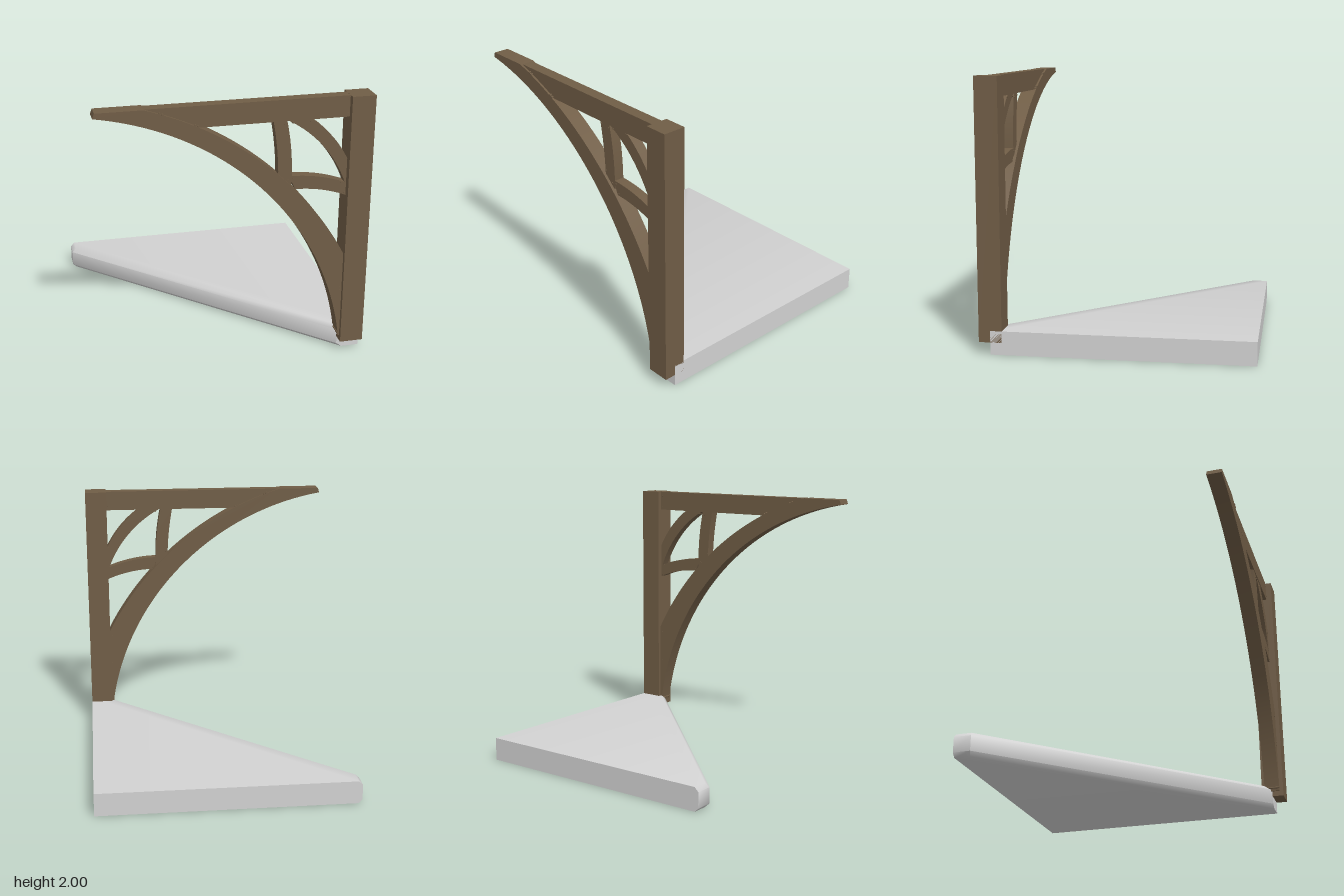
import * as THREE from 'three';
import { toCreasedNormals } from 'three/addons/utils/BufferGeometryUtils.js';

const wood = new THREE.MeshStandardMaterial({ color: 0x705d46 });
wood.name = 'brownWood';
const stone = new THREE.MeshStandardMaterial({ color: 0xd2d2d2 });
stone.name = 'lightGrey';

// Points on the circle running from a through b to c
function arc(a, b, c, n = 28) {
  const d = 2 * (a[0] * (b[1] - c[1]) + b[0] * (c[1] - a[1]) + c[0] * (a[1] - b[1]));
  const [sa, sb, sc] = [a, b, c].map(p => p[0] ** 2 + p[1] ** 2);
  const cx = (sa * (b[1] - c[1]) + sb * (c[1] - a[1]) + sc * (a[1] - b[1])) / d;
  const cy = (sa * (c[0] - b[0]) + sb * (a[0] - c[0]) + sc * (b[0] - a[0])) / d;
  const r = Math.hypot(a[0] - cx, a[1] - cy);
  const t0 = Math.atan2(a[1] - cy, a[0] - cx);
  let dt = Math.atan2(c[1] - cy, c[0] - cx) - t0;
  if (dt > Math.PI) dt -= 2 * Math.PI;
  if (dt < -Math.PI) dt += 2 * Math.PI;
  return Array.from({ length: n + 1 }, (_, i) => {
    const t = t0 + dt * i / n;
    return new THREE.Vector2(cx + r * Math.cos(t), cy + r * Math.sin(t));
  });
}

// Flat timber cut from an outline in the xy plane
function timber(name, points, z0, z1) {
  const geo = new THREE.ExtrudeGeometry(new THREE.Shape(points), { depth: z1 - z0, bevelEnabled: false });
  geo.translate(0, 0, z0);
  const mesh = new THREE.Mesh(toCreasedNormals(geo, 0.4), wood);
  mesh.name = name;
  return mesh;
}

function box(name, x0, x1, y0, y1, z0, z1) {
  const mesh = new THREE.Mesh(new THREE.BoxGeometry(x1 - x0, y1 - y0, z1 - z0), wood);
  mesh.position.set((x0 + x1) / 2, (y0 + y1) / 2, (z0 + z1) / 2);
  mesh.name = name;
  return mesh;
}

// Triangular slab, chamfered along its left end and its diagonal
function slab() {
  const outer = [[-0.98, -1], [0.975, -1], [0.975, 0.915], [0.805, 0.915], [-0.98, -0.87]];
  const inset = [[-0.95, -1], [0.975, -1], [0.975, 0.915], [0.847, 0.915], [-0.95, -0.882]];
  const rings = [[inset, 0], [outer, 0.03], [outer, 0.145], [inset, 0.175]];
  const pos = [], idx = [], n = 5;
  for (const [ring, y] of rings) for (const [x, z] of ring) pos.push(x, y, z);
  for (let k = 0; k < 3; k++) {
    for (let i = 0; i < n; i++) {
      const a = k * n + i, b = k * n + (i + 1) % n;
      idx.push(a, a + n, b, b, a + n, b + n);
    }
  }
  const top = 3 * n;
  for (let i = 1; i < n - 1; i++) {
    idx.push(0, i, i + 1);
    idx.push(top, top + i + 1, top + i);
  }
  const geo = new THREE.BufferGeometry();
  geo.setAttribute('position', new THREE.Float32BufferAttribute(pos, 3));
  geo.setIndex(idx);
  const mesh = new THREE.Mesh(toCreasedNormals(geo, 0.87), stone);
  mesh.name = 'baseSlab';
  return mesh;
}

export function createModel() {
  const model = new THREE.Group();
  model.name = 'timberBracket';
  model.add(slab());

  // Post and top beam
  model.add(box('post', 0.803, 0.975, 0.09, 2, 0.83, 1));
  model.add(box('topBeam', -0.3, 0.81, 1.845, 1.999, 0.87, 0.955));
  model.add(timber('beamTip', [
    new THREE.Vector2(-0.3, 1.87), new THREE.Vector2(-0.3, 1.999), new THREE.Vector2(-0.63, 1.999),
  ], 0.87, 0.955));

  // Large arched brace
  model.add(timber('archBrace', [
    ...arc([-0.978, 1.963], [0, 1.53], [0.794, 0.13], 48),
    new THREE.Vector2(0.81, 0.13),
    ...arc([0.806, 0.8], [0, 1.697], [-0.64, 2], 40),
    new THREE.Vector2(-0.965, 2),
  ], 0.855, 0.97));

  // Small curved braces
  const z0 = 0.875, z1 = 0.95;
  model.add(timber('cornerBrace', [
    ...arc([0.36, 1.85], [0.62, 1.645], [0.806, 1.32]),
    ...arc([0.806, 1.53], [0.69, 1.705], [0.53, 1.85]),
  ], z0, z1));
  model.add(timber('uprightBrace', [
    ...arc([0.259, 1.85], [0.288, 1.66], [0.302, 1.44]),
    ...arc([0.399, 1.37], [0.388, 1.66], [0.356, 1.85]),
  ], z0, z1));
  model.add(timber('sideBrace', [
    ...arc([0.43, 1.336], [0.62, 1.315], [0.806, 1.257]),
    ...arc([0.806, 1.353], [0.6, 1.415], [0.38, 1.437]),
  ], z0, z1));

  // Small pegs through the joints: x, y, half length
  const pegs = [
    [-0.53, 1.967, 0.06], [-0.51, 1.957, 0.06], [-0.29, 1.867, 0.06], [-0.27, 1.857, 0.06],
    [0.79, 1.967, 0.046], [0.79, 1.872, 0.046], [0.275, 1.83, 0.041], [0.345, 1.818, 0.041],
    [0.40, 1.83, 0.041], [0.53, 1.832, 0.041], [0.31, 1.485, 0.041], [0.375, 1.41, 0.041],
    [0.41, 1.415, 0.041], [0.44, 1.35, 0.041], [0.793, 1.525, 0.041], [0.77, 1.355, 0.041],
    [0.793, 1.28, 0.041], [0.785, 0.76, 0.06], [0.79, 0.535, 0.06], [0.79, 0.51, 0.06], [0.79, 0.155, 0.06],
  ];
  const pegGroup = new THREE.Group();
  pegGroup.name = 'pegs';
  for (const [x, y, h] of pegs) {
    const peg = new THREE.Mesh(new THREE.CylinderGeometry(0.007, 0.007, 2 * h, 8).rotateX(Math.PI / 2), wood);
    peg.position.set(x, y, 0.9125);
    peg.name = 'peg';
    pegGroup.add(peg);
  }
  model.add(pegGroup);
  return model;
}
